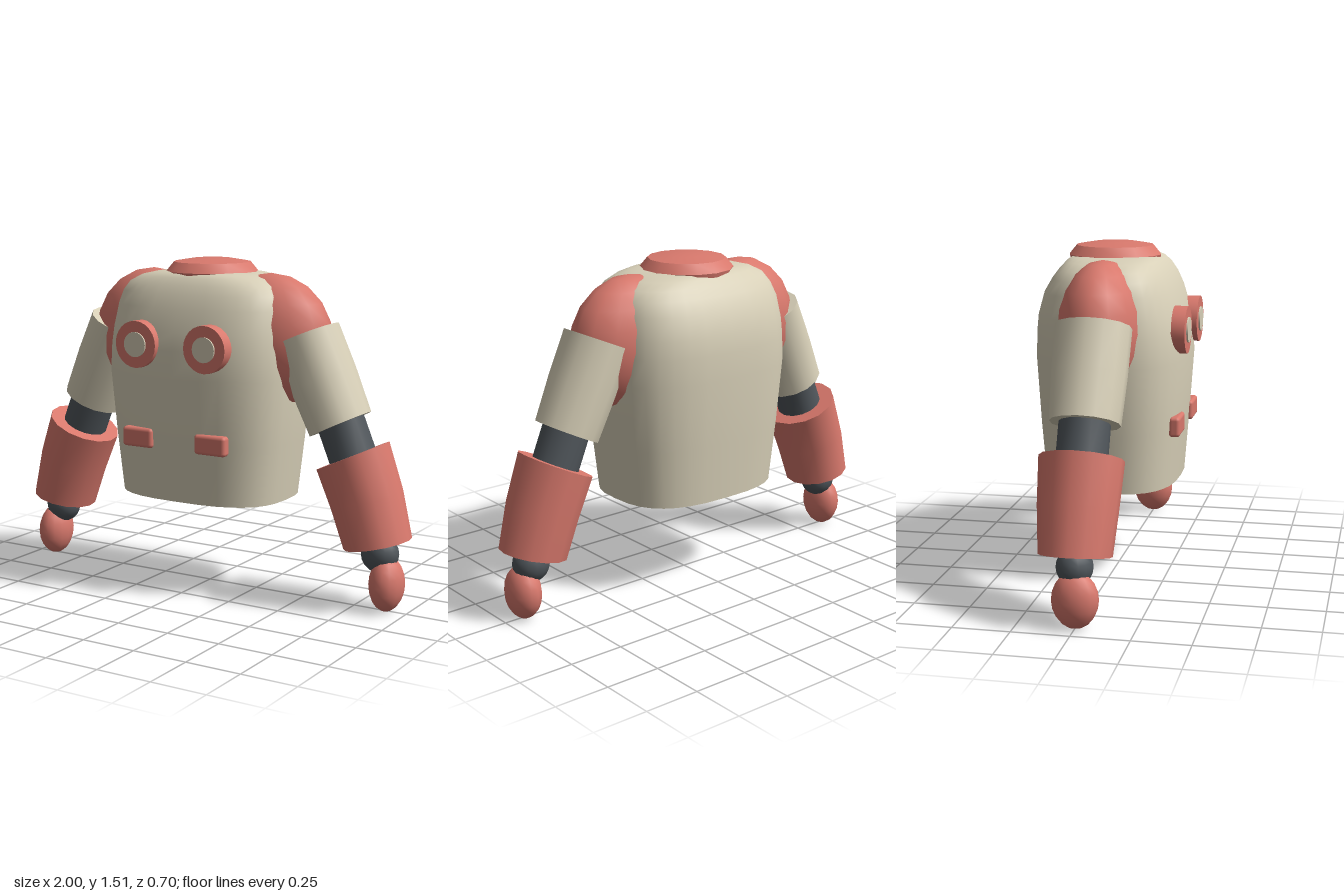
import * as THREE from 'three';
import { toCreasedNormals } from 'three/addons/utils/BufferGeometryUtils.js';
import { RoundedBoxGeometry } from 'three/addons/geometries/RoundedBoxGeometry.js';

// Capped skin over rings of points, ordered from bottom to top
function loft(rings, crease = 0.7) {
  const n = rings[0].length, pos = [], idx = [];
  rings.forEach(r => r.forEach(p => pos.push(...p)));
  for (let j = 0; j < rings.length - 1; j++) {
    for (let i = 0; i < n; i++) {
      const a = j * n + i, b = j * n + (i + 1) % n;
      idx.push(a, a + n, b, b, a + n, b + n);
    }
  }
  const last = (rings.length - 1) * n;
  for (let i = 1; i < n - 1; i++) {
    idx.push(0, i, i + 1, last, last + i + 1, last + i);
  }
  const g = new THREE.BufferGeometry();
  g.setAttribute('position', new THREE.Float32BufferAttribute(pos, 3));
  g.setIndex(idx);
  return toCreasedNormals(g, crease);
}

// Tilted oval ring: centre x, y, tilt in degrees, radii across and deep
function limbRing([x, y, tilt, rx, rz], side, n = 14) {
  const t = THREE.MathUtils.degToRad(tilt) * side;
  return Array.from({ length: n }, (_, i) => {
    const a = (i / n) * Math.PI * 2, u = Math.cos(a) * rx;
    return [x * side + u * Math.cos(t), y + u * Math.sin(t), -0.01 + Math.sin(a) * rz];
  });
}

// Squarish oval ring: height, half width, front depth, back depth
function torsoRing([y, w, front, back], n = 32) {
  const bend = v => Math.sign(v) * Math.pow(Math.abs(v), 2 / 2.8);
  return Array.from({ length: n }, (_, i) => {
    const a = (i / n) * Math.PI * 2, s = bend(Math.sin(a));
    return [w * bend(Math.cos(a)), y, s * (s > 0 ? front : back)];
  });
}

export function createModel() {
  const model = new THREE.Group();
  const paint = (name, color) => {
    const m = new THREE.MeshStandardMaterial({ color });
    m.name = name;
    return m;
  };
  const coral = paint('coral', 0xd9796d);
  const cream = paint('cream', 0xd8d0b8);
  const dark = paint('dark grey', 0x50565b);

  const add = (parent, name, geometry, material, x = 0, y = 0, z = 0) => {
    const mesh = new THREE.Mesh(geometry, material);
    mesh.name = name;
    mesh.position.set(x, y, z);
    parent.add(mesh);
    return mesh;
  };

  // Body shell
  add(model, 'torso', loft([
    [0.435, 0.4, 0.29, 0.31], [0.7, 0.43, 0.31, 0.33], [1.0, 0.457, 0.33, 0.347],
    [1.12, 0.453, 0.322, 0.345], [1.2, 0.445, 0.308, 0.338], [1.3, 0.43, 0.277, 0.31],
    [1.36, 0.41, 0.25, 0.275], [1.4, 0.38, 0.225, 0.245], [1.43, 0.32, 0.2, 0.22],
    [1.445, 0.25, 0.18, 0.2], [1.452, 0.19, 0.15, 0.17],
  ].map(r => torsoRing(r))), cream);

  // Collar plug with a shallow domed top
  const collar = [[0.205, 1.43], [0.21, 1.45], [0.175, 1.492], [0.09, 1.506], [0, 1.508]]
    .map(p => new THREE.Vector2(...p));
  add(model, 'collar', toCreasedNormals(new THREE.LatheGeometry(collar, 14), 0.5), coral, 0, 0, -0.018);

  for (const side of [1, -1]) {
    // Chest discs and pocket plates
    const disc = (r, d) => toCreasedNormals(new THREE.CylinderGeometry(r, r, d, 24).rotateX(Math.PI / 2), 0.6);
    add(model, 'chestRing', disc(0.105, 0.06), coral, side * 0.178, 1.14, 0.315);
    add(model, 'chestDisc', disc(0.056, 0.008), cream, side * 0.178, 1.14, 0.348);
    add(model, 'pocketPlate', new RoundedBoxGeometry(0.158, 0.09, 0.05, 2, 0.016), coral, side * 0.19, 0.716, 0.3);

    // Arm
    const arm = new THREE.Group();
    arm.name = side > 0 ? 'leftArm' : 'rightArm';
    model.add(arm);
    const limb = (name, material, ...sections) =>
      add(arm, name, loft(sections.map(s => limbRing(s, side))), material);
    const ball = (name, material, r, x, y, z) =>
      add(arm, name, new THREE.SphereGeometry(1, 14, 10).scale(...r), material, x * side, y, z);

    ball('shoulder', coral, [0.3, 0.303, 0.195], 0.31, 1.15, -0.01);
    limb('upperArm', cream,
      [0.662, 0.808, 26, 0.143, 0.152], [0.575, 1.0, 24.5, 0.15, 0.162], [0.49, 1.19, 24, 0.147, 0.165]);
    limb('elbow', dark, [0.745, 0.62, 22, 0.105, 0.11], [0.65, 0.85, 25, 0.105, 0.11]);
    limb('forearm', coral,
      [0.853, 0.295, 13, 0.151, 0.155], [0.797, 0.486, 19, 0.161, 0.171], [0.725, 0.674, 25, 0.168, 0.181]);
    ball('wrist', dark, [0.085, 0.085, 0.078], 0.865, 0.25, -0.01);
    ball('hand', coral, [0.076, 0.122, 0.1], 0.905, 0.122, 0);
  }
  return model;
}
